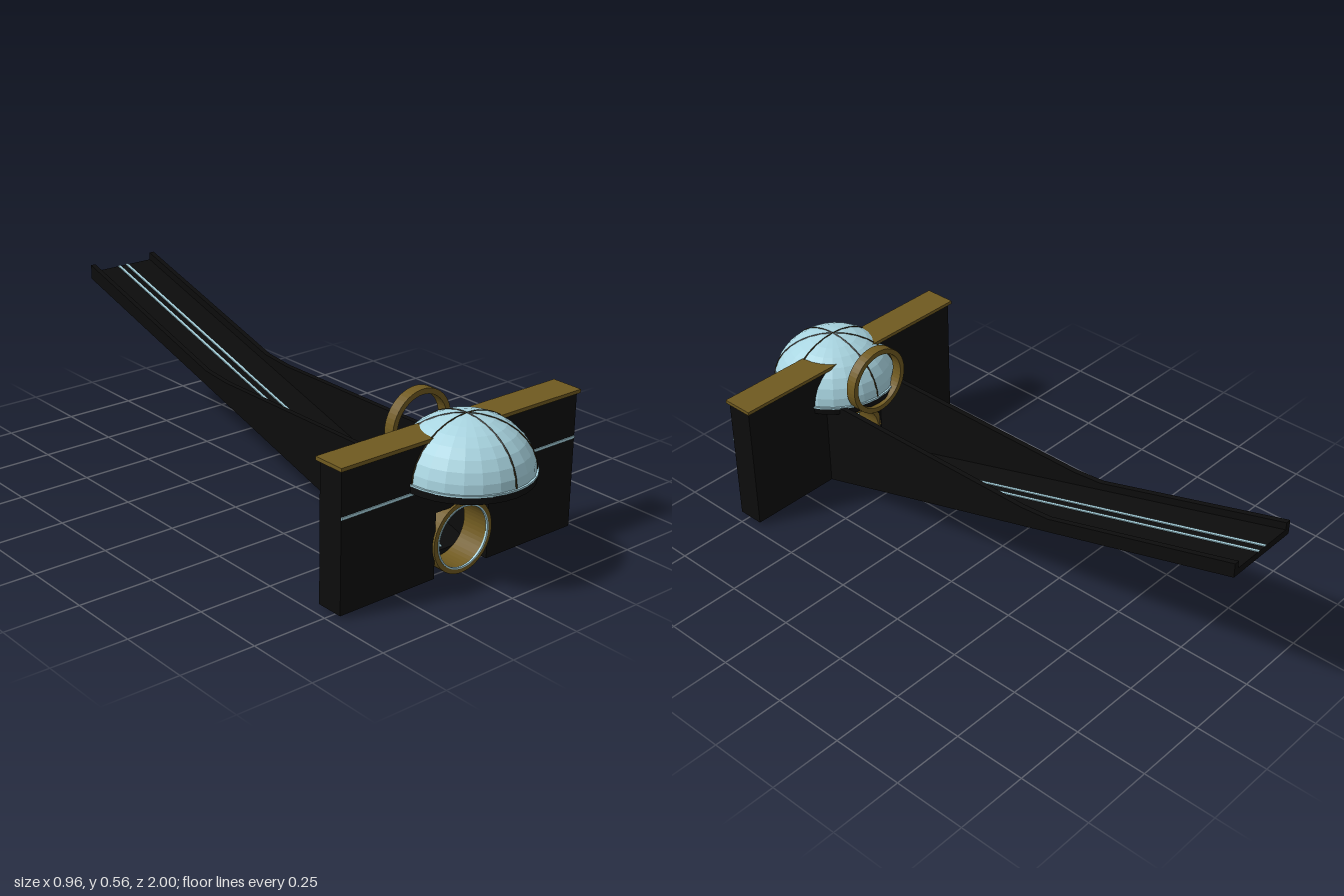
import * as THREE from 'three';

const mat = (name, color) => {
  const m = new THREE.MeshStandardMaterial({ color });
  m.name = name;
  m.flatShading = true;
  return m;
};

export function createModel() {
  const black = mat('black', 0x0c0c0c);
  const gold = mat('gold', 0x705a20);
  const blue = mat('paleBlue', 0xa9d5e1);
  const bronze = mat('darkBronze', 0x2a210c);
  const model = new THREE.Group();

  const add = (name, geo, material, x = 0, y = 0, z = 0) => {
    const mesh = new THREE.Mesh(geo, material);
    mesh.name = name;
    mesh.position.set(x, y, z);
    model.add(mesh);
    return mesh;
  };
  // Box given by its lower and upper corners
  const box = (name, material, [x0, y0, z0], [x1, y1, z1]) =>
    add(name, new THREE.BoxGeometry(x1 - x0, y1 - y0, z1 - z0), material,
      (x0 + x1) / 2, (y0 + y1) / 2, (z0 + z1) / 2);
  // Round band with its axis along z
  const ring = (name, material, outer, inner, y, z0, z1) => {
    const s = new THREE.Shape().absarc(0, 0, outer, 0, Math.PI * 2);
    s.holes.push(new THREE.Path().absarc(0, 0, inner, 0, Math.PI * 2, true));
    const geo = new THREE.ExtrudeGeometry(s, { depth: z1 - z0, bevelEnabled: false, curveSegments: 24 });
    return add(name, geo, material, 0, y, z0);
  };
  // Side outline in (z, y), extruded across x
  const sidePlate = (name, material, points, x0, x1) => {
    const s = new THREE.Shape(points.map(([z, y]) => new THREE.Vector2(-z, y)));
    const geo = new THREE.ExtrudeGeometry(s, { depth: x1 - x0, bevelEnabled: false });
    geo.rotateY(Math.PI / 2);
    return add(name, geo, material, x0, 0, 0);
  };

  // Front wall with a doorway, coping and front stripe
  for (const s of [-1, 1]) {
    const a = s * 0.108, b = s * 0.47;
    box(s > 0 ? 'leftWall' : 'rightWall', black,
      [Math.min(a, b), 0.01, 0.69], [Math.max(a, b), 0.46, 0.783]);
  }
  box('lintel', black, [-0.108, 0.225, 0.69], [0.108, 0.46, 0.783]);
  box('coping', gold, [-0.478, 0.459, 0.68], [0.478, 0.471, 0.791]);
  box('wallStripe', blue, [-0.47, 0.309, 0.782], [0.47, 0.318, 0.786]);

  // Round portal and the matching hoop over the ramp
  ring('portal', gold, 0.118, 0.101, 0.118, 0.69, 0.79);
  ring('portalTrim', blue, 0.103, 0.098, 0.118, 0.785, 0.792);
  ring('hoop', gold, 0.118, 0.1, 0.412, 0.563, 0.6);

  // Rising ramp: floor, parapets and two guide lines
  const under = (z) => 0.01 + 0.293 * (0.69 - z);
  const band = (z0, z1, lo, hi) => [
    [z0, under(z0) + lo], [z1, under(z1) + lo], [z1, under(z1) + hi], [z0, under(z0) + hi]];
  sidePlate('rampFloor', black, band(0.69, -1, 0, 0.024), -0.134, 0.134);
  for (const s of [-1, 1]) {
    const x = s * 0.126;
    sidePlate('rampParapet', black, [
      [0.69, under(0.69)], [-1, under(-1)], [-1, under(-1) + 0.05],
      [-0.31, under(-0.31) + 0.05], [-0.2, 0.343], [0.69, 0.343]], x - 0.009, x + 0.009);
    sidePlate('guideLine', blue, band(0.68, -1, 0.023, 0.027), s * 0.0165 - 0.0045, s * 0.0165 + 0.0045);
  }

  // Faceted dome on a round base, with a pale rim
  const cz = 0.785, baseY = 0.341, squash = 0.82;
  add('domeBase', new THREE.CylinderGeometry(0.212, 0.212, 0.022, 32), black, 0, 0.329, cz);
  add('domeRim', new THREE.CylinderGeometry(0.215, 0.215, 0.006, 32), blue, 0, 0.343, cz);
  const dome = add('dome', new THREE.SphereGeometry(0.21, 24, 8, 0, Math.PI * 2, 0, Math.PI / 2),
    blue, 0, baseY, cz);
  dome.scale.y = squash;

  // Slim ribs arching over the dome
  for (const angle of [0, -Math.PI / 4, -Math.PI / 2]) {
    const rib = add('domeRib', new THREE.TorusGeometry(0.2075, 0.0045, 4, 32, Math.PI),
      bronze, 0, baseY, cz);
    rib.rotation.y = angle;
    rib.scale.y = squash;
  }
  return model;
}
